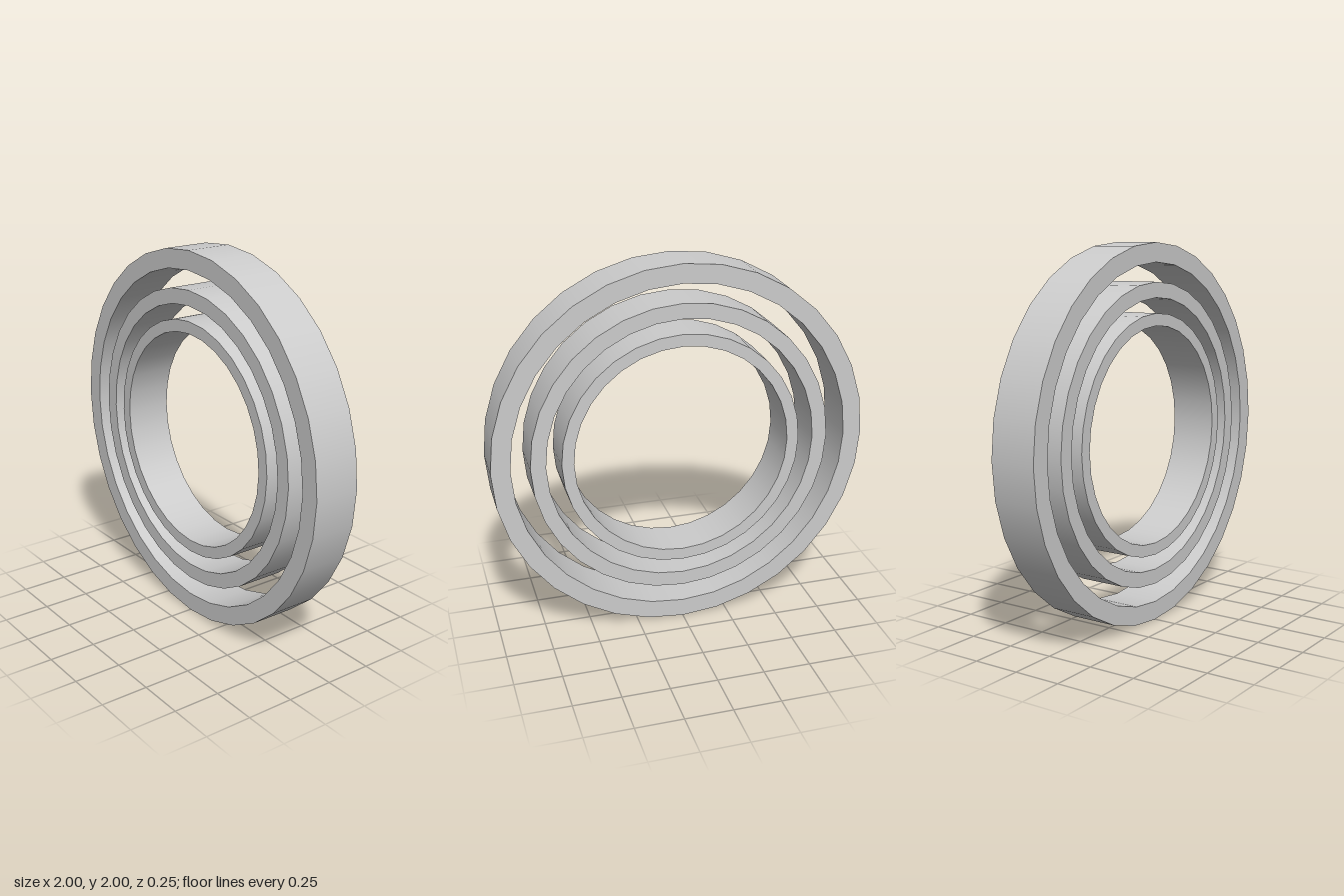
import * as THREE from 'three';
import { mergeGeometries } from 'three/addons/utils/BufferGeometryUtils.js';

const SEGMENTS = 32;
const HALF_DEPTH = 0.125;

// Square-section ring around z: each wall is its own lathe, so the rims stay sharp
function ringGeometry(outer, inner) {
  const corners = [
    [inner, -HALF_DEPTH], [outer, -HALF_DEPTH],
    [outer, HALF_DEPTH], [inner, HALF_DEPTH],
  ].map(([r, h]) => new THREE.Vector2(r, h));
  const walls = corners.map((corner, i) =>
    new THREE.LatheGeometry([corner, corners[(i + 1) % 4]], SEGMENTS));
  return mergeGeometries(walls).rotateX(Math.PI / 2);
}

export function createModel() {
  const model = new THREE.Group();
  model.name = 'concentricRings';
  const material = new THREE.MeshStandardMaterial({ color: 0xcccccc });

  // Three concentric rings, each 0.8 times the radius of the one around it
  ['outerRing', 'middleRing', 'innerRing'].forEach((name, i) => {
    const radius = 0.8 ** i;
    const ring = new THREE.Mesh(ringGeometry(radius, radius * 0.9), material);
    ring.name = name;
    ring.position.y = 1;
    model.add(ring);
  });
  return model;
}
